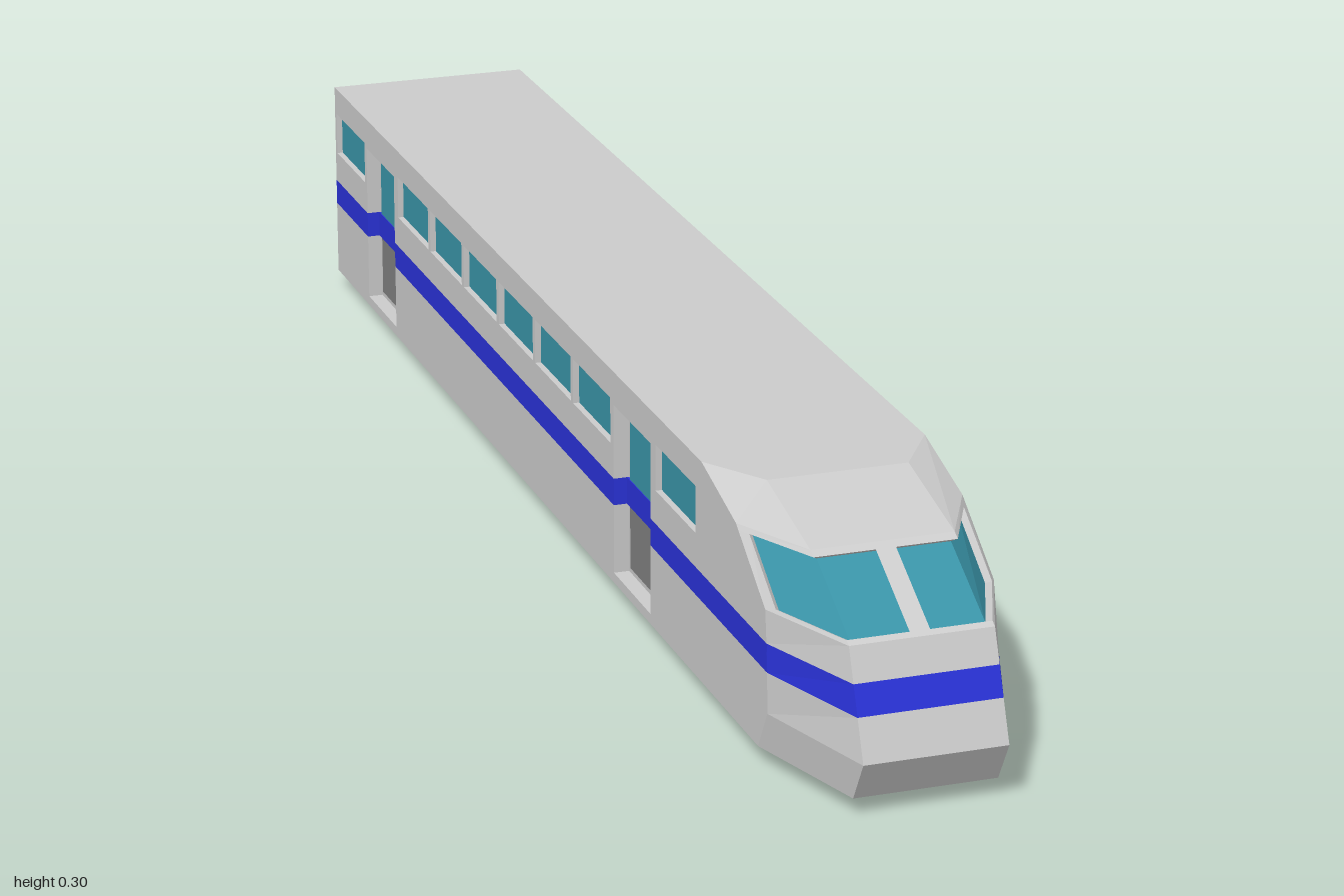
import * as THREE from 'three';

const mat = (color, side = THREE.FrontSide) =>
  new THREE.MeshStandardMaterial({ color, side, flatShading: true });
const GREY = mat(0xcccccc), BLUE = mat(0x2a32d8), GLASS = mat(0x3a94a8);
const DARK = mat(0x808080), BLACK = mat(0x222222), REVEAL = mat(0xcccccc, THREE.DoubleSide);

const W = 0.14, WC = 0.088, WALL = 0.02, BACK = -1, FLOOR = 0.022, ROOF = 0.3;
const STRIPE = [0.125, 0.16];
const DOOR_Y = [0.035, 0.257];
const DOORS = [[0.415, 0.275], [-0.695, -0.835]];
// Nose rows: height, z of the middle facet, z of the outer edge
const ROWS = [
  [FLOOR, 0.97, 0.8], [0.075, 1.0, 0.83], [0.125, 0.98, 0.828], [0.16, 0.966, 0.825],
  [0.2, 0.95, 0.82], [0.268, 0.825, 0.72], [ROOF, 0.68, 0.6],
];

function add(parent, name, geometry, material) {
  const mesh = new THREE.Mesh(geometry, material);
  mesh.name = name;
  parent.add(mesh);
  return mesh;
}

// Mesh geometry from four-cornered faces, counter-clockwise from outside
function quads(list) {
  const pos = [];
  for (const [a, b, c, d] of list) pos.push(...a, ...b, ...c, ...a, ...c, ...d);
  const g = new THREE.BufferGeometry();
  g.setAttribute('position', new THREE.Float32BufferAttribute(pos, 3));
  g.computeVertexNormals();
  return g;
}

const path = (pts, Type = THREE.Shape) => new Type(pts.map(([z, y]) => new THREE.Vector2(-z, y)));
const rect = (z0, z1, y0, y1) => [[z0, y0], [z1, y0], [z1, y1], [z0, y1]];

// Side profile (z, y) given thickness across x, from x0 to x0 + depth
function slab(outline, x0, depth, holes = []) {
  const shape = path(outline);
  shape.holes = holes.map((h) => path(h, THREE.Path));
  const g = new THREE.ExtrudeGeometry(shape, { depth, bevelEnabled: false });
  return g.rotateY(Math.PI / 2).translate(x0, 0, 0);
}

// Passenger windows as [front z, rear z]
const windows = [[0.58, 0.435], [-0.845, -0.992]];
for (let i = 0; i < 6; i++) windows.push([0.262 - i * 0.158, 0.114 - i * 0.158]);

function buildSide(s) {
  const side = new THREE.Group();
  side.name = s > 0 ? 'leftSide' : 'rightSide';
  // slab whose outer face lies at distance `outer` from the centre
  const layer = (name, outline, outer, depth, material, holes) =>
    add(side, name, slab(outline, s > 0 ? outer - depth : -outer, depth, holes), material);

  const [s0, s1] = STRIPE, [d0, d1] = DOOR_Y;
  const edge = (a, b) => ROWS.slice(a, b + 1).map(([y, , z]) => [z, y]);
  const notch = (y, yDoor) => DOORS.flatMap(([a, b]) => [[a, y], [a, yDoor], [b, yDoor], [b, y]]);
  const holes = windows.map(([a, b]) => rect(a, b, 0.203, 0.262));

  // Wall in three bands, notched for the doors
  layer('upperWall', [[BACK, s1], [BACK, ROOF], ...edge(3, 6).reverse(), ...notch(s1, d1)],
    W, WALL, GREY, holes);
  layer('lowerWall', [[BACK, s0], [BACK, FLOOR], ...edge(0, 2), ...notch(s0, d0)], W, WALL, GREY);
  const cuts = [0.826, ...DOORS.flat(), BACK];
  for (let i = 0; i < cuts.length; i += 2)
    layer('stripe', rect(cuts[i], cuts[i + 1], s0, s1), W, WALL, BLUE);

  // Recessed window panes
  for (const [a, b] of windows) layer('window', rect(a, b, 0.203, 0.262), W - 0.008, 0.008, GLASS);

  // Recessed doors
  for (const [a, b] of DOORS) {
    const x = W - WALL;
    layer('doorFrame', rect(a, b, d0, d1), x, 0.01, GREY);
    layer('doorStripe', rect(a, b, s0, s1), x + 0.003, 0.005, BLUE);
    layer('doorGlass', rect(a - 0.01, b + 0.01, s1, d1 - 0.008), x + 0.002, 0.005, GLASS);
    layer('doorPanel', rect(a - 0.01, b + 0.01, d0 + 0.008, s0), x + 0.002, 0.005, DARK);
  }
  return side;
}

// Wrap-around windscreen half: frame, reveal and set-back glass
function buildWindscreen(s) {
  const group = new THREE.Group();
  group.name = s > 0 ? 'leftWindscreen' : 'rightWindscreen';
  const [lo, hi] = [ROWS[4], ROWS[5]];
  const mix = THREE.MathUtils.lerp;
  // u: 0 centre, 1 corner, 2 outer edge; v: 0 bottom, 1 top
  const point = (u, v, inset = 0) => {
    const k = Math.max(0, u - 1);
    const x = u < 1 ? u * WC : mix(WC, W, k);
    const z = mix(mix(lo[1], lo[2], k), mix(hi[1], hi[2], k), v);
    return [s * (x - inset), mix(lo[0], hi[0], v) - inset * 0.7, z - inset];
  };
  const turn = (q) => (s > 0 ? q : q.reverse());
  const us = [0, 0.14, 1, 1.85, 2], vs = [0, 0.06, 0.92, 1], inset = 0.006;
  const frame = [], glass = [], reveal = [];
  for (let i = 0; i < 4; i++) for (let j = 0; j < 3; j++) {
    const open = j === 1 && (i === 1 || i === 2);
    const at = open ? inset : 0;
    (open ? glass : frame).push(turn([point(us[i], vs[j], at), point(us[i + 1], vs[j], at),
      point(us[i + 1], vs[j + 1], at), point(us[i], vs[j + 1], at)]));
  }
  const rim = [[us[1], vs[1]], [1, vs[1]], [us[3], vs[1]], [us[3], vs[2]], [1, vs[2]], [us[1], vs[2]]];
  rim.forEach((p, i) => {
    const q = rim[(i + 1) % rim.length];
    reveal.push([point(...p), point(...q), point(...q, inset), point(...p, inset)]);
  });
  add(group, 'windscreenFrame', quads(frame), GREY);
  add(group, 'windscreenGlass', quads(glass), GLASS);
  add(group, 'windscreenReveal', quads(reveal), REVEAL);
  return group;
}

function buildNose() {
  const nose = new THREE.Group();
  nose.name = 'nose';
  const grey = [], blue = [];
  const corners = ([y, zc, ze]) => [[-W, y, ze], [-WC, y, zc], [WC, y, zc], [W, y, ze]];
  for (let j = 0; j < ROWS.length - 1; j++) {
    if (j === 4) continue; // windscreen row
    const a = corners(ROWS[j]), b = corners(ROWS[j + 1]);
    for (let i = 0; i < 3; i++) (j === 2 ? blue : grey).push([a[i], a[i + 1], b[i + 1], b[i]]);
  }
  add(nose, 'noseShell', quads(grey), GREY);
  add(nose, 'noseStripe', quads(blue), BLUE);
  nose.add(buildWindscreen(1), buildWindscreen(-1));
  return nose;
}

export function createModel() {
  const train = new THREE.Group();
  train.name = 'trainCar';
  train.add(buildNose(), buildSide(1), buildSide(-1));

  // Roof and floor, each narrowing into the nose
  const deck = ([y, zc, ze]) => [
    [[-W, y, BACK], [-W, y, ze], [W, y, ze], [W, y, BACK]],
    [[-W, y, ze], [-WC, y, zc], [WC, y, zc], [W, y, ze]],
  ];
  add(train, 'roof', quads(deck(ROWS[6])), GREY);
  add(train, 'floor', quads(deck(ROWS[0]).map((q) => q.reverse())), GREY);

  // Flat rear end with its stripe
  const rear = (y0, y1) => [[W, y0, BACK], [-W, y0, BACK], [-W, y1, BACK], [W, y1, BACK]];
  add(train, 'rearWall', quads([rear(FLOOR, STRIPE[0]), rear(STRIPE[1], ROOF)]), GREY);
  add(train, 'rearStripe', quads([rear(...STRIPE)]), BLUE);

  // Pair of tapered underbody skids
  const skid = [[0.57, FLOOR], [0.42, 0], [-0.84, 0], [-0.995, FLOOR]];
  for (const x0 of [0.016, -0.123]) add(train, 'underbodySkid', slab(skid, x0, 0.107), BLACK);
  return train;
}
